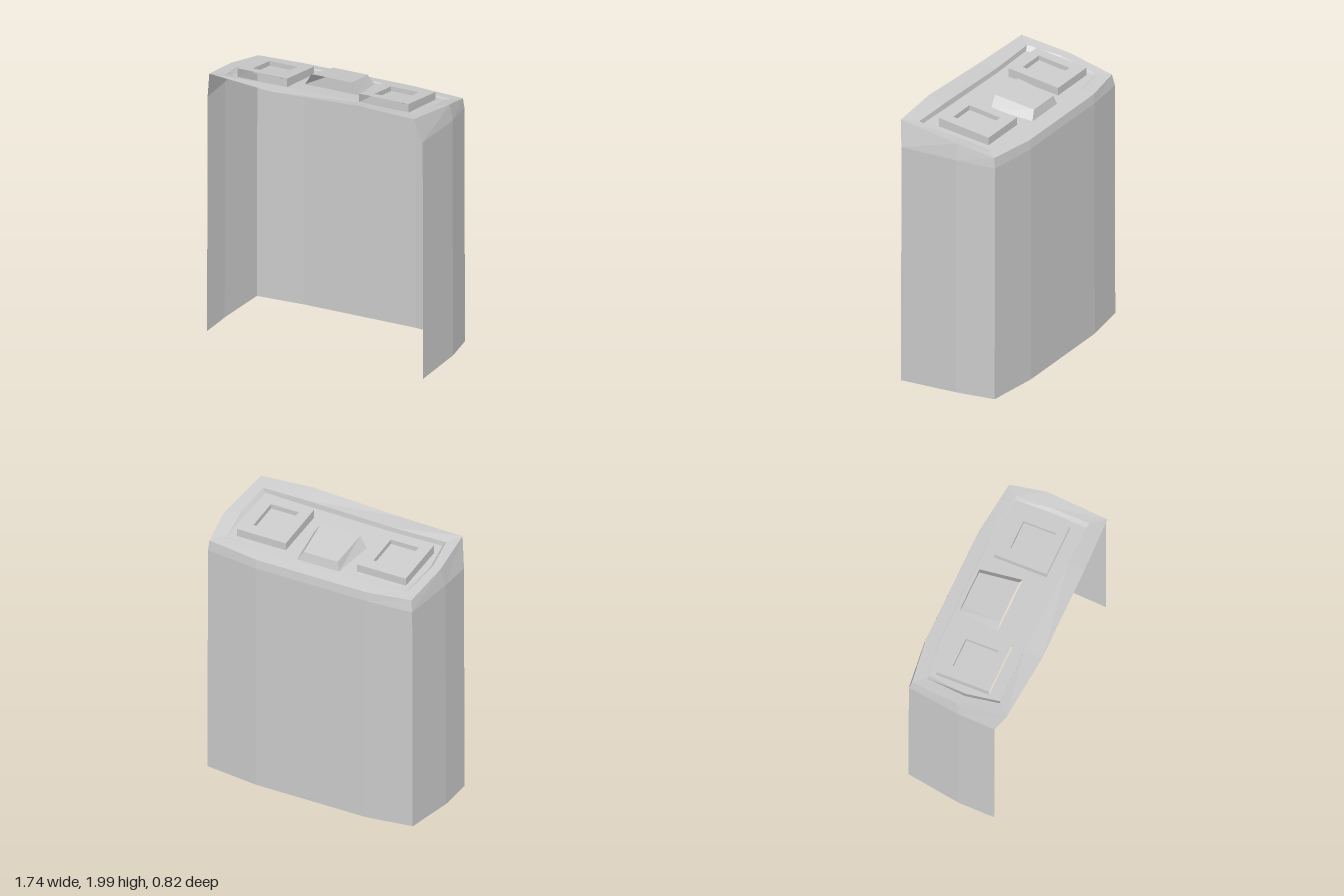
import * as THREE from 'three';

const material = new THREE.MeshStandardMaterial({ color: 0xcccccc, flatShading: true, side: THREE.DoubleSide });

// Sheet lofted through rows of points
function loft(name, rows, closed = false) {
  const n = rows[0].length, index = [];
  for (let r = 0; r < rows.length - 1; r++) {
    for (let i = 0; i < (closed ? n : n - 1); i++) {
      const j = (i + 1) % n, a = r * n + i, b = r * n + j;
      index.push(a, a + n, b, b, a + n, b + n);
    }
  }
  const g = new THREE.BufferGeometry();
  g.setAttribute('position', new THREE.Float32BufferAttribute(rows.flat(2), 3));
  g.setIndex(index);
  g.computeVertexNormals();
  const mesh = new THREE.Mesh(g, material);
  mesh.name = name;
  return mesh;
}

// Flat plate with holes, draped onto a height rule y = f(z)
function plate(name, outline, holes, height) {
  const toV = ([x, z]) => new THREE.Vector2(x, -z);
  const shape = new THREE.Shape(outline.map(toV));
  shape.holes = holes.map(h => new THREE.Path(h.map(toV)));
  const g = new THREE.ShapeGeometry(shape);
  g.rotateX(-Math.PI / 2);
  const p = g.attributes.position;
  for (let i = 0; i < p.count; i++) p.setY(i, height(p.getZ(i)));
  g.computeVertexNormals();
  const mesh = new THREE.Mesh(g, material);
  mesh.name = name;
  return mesh;
}

const rect = (x0, x1, z0, z1) => [[x0, z1], [x0, z0], [x1, z0], [x1, z1]];
const drape = (pts, f) => pts.map(([x, z]) => [x, f(z), z]);
const floorY = z => 1.895 + 0.13 * z;
const frameY = z => 1.956 + 0.15 * z;
const frameInnerY = z => frameY(z) - 0.035;
const scoopY = z => 1.978 + 0.2 * z;

export function createModel() {
  const group = new THREE.Group();

  // Outer wall: left edge, round the back, right edge [x, z, bottom y, shoulder y]
  const wall = [
    [-0.865, 0.30, 0.01, 1.78], [-0.87, 0.03, 0.01, 1.79], [-0.83, -0.37, 0.03, 1.77],
    [-0.48, -0.41, 0.02, 1.78], [0.40, -0.41, 0.02, 1.78], [0.81, -0.36, 0.02, 1.78],
    [0.865, -0.08, 0.03, 1.80], [0.865, 0.36, 0.02, 1.80],
  ];
  // Outer and inner edge of the top rim, in the same order, then the front
  const rimOuter = [
    [-0.81, 1.99, 0.37], [-0.84, 1.925, 0], [-0.81, 1.855, -0.355], [-0.48, 1.845, -0.40],
    [0.40, 1.845, -0.40], [0.80, 1.855, -0.35], [0.84, 1.92, -0.08], [0.81, 1.98, 0.395],
    [0.40, 2.0, 0.41], [-0.30, 1.97, 0.41],
  ];
  const rimInner = [
    [-0.73, 1.965, 0.28], [-0.77, 1.925, 0.03], [-0.74, 1.866, -0.27], [-0.48, 1.862, -0.31],
    [0.38, 1.862, -0.31], [0.74, 1.866, -0.27], [0.745, 1.92, 0], [0.735, 1.962, 0.29],
    [0.40, 1.97, 0.28], [-0.30, 1.962, 0.27],
  ];
  const bottom = wall.map(([x, z, y]) => [x, y, z]);
  const shoulder = wall.map(([x, z, , y]) => [x * 0.995, y, z]);
  group.add(loft('outerWall', [bottom, shoulder]));
  group.add(loft('shoulderBevel', [shoulder, rimOuter.slice(0, 8)]));

  // Rim and shallow recess
  const floorOutline = rimInner.map(([x, , z]) => [x * 0.965, z * 0.98]);
  group.add(loft('topRim', [rimOuter, rimInner], true));
  group.add(loft('recessWall', [rimInner, drape(floorOutline, floorY)], true));

  // Scoop footprint and raised top
  const scoopBase = [[-0.235, 0.035], [-0.19, -0.275], [0.145, -0.275], [0.185, 0.035]];
  const scoopTop = [[-0.185, 0.035], [-0.17, -0.26], [0.10, -0.26], [0.13, 0.035]];

  // Recess floor, open beneath the raised parts
  const frames = [['right', -0.495], ['left', 0.46]];
  const footprint = cx => rect(cx - 0.195, cx + 0.195, -0.22, 0.18);
  group.add(plate('recessFloor', floorOutline, [scoopBase, ...frames.map(f => footprint(f[1]))], floorY));

  // Two raised square frames with sunken centres
  for (const [side, cx] of frames) {
    const frame = new THREE.Group();
    frame.name = side + 'Frame';
    const outer = footprint(cx);
    const inner = rect(cx - 0.11, cx + 0.11, -0.135, 0.112);
    frame.add(loft('frameSides', [drape(outer, floorY), drape(outer, frameY)]));
    frame.add(plate('frameTop', outer, [inner], frameY));
    frame.add(loft('frameInnerSides', [drape(inner, frameY), drape(inner, frameInnerY)], true));
    frame.add(plate('frameCentre', inner, [], frameInnerY));
    group.add(frame);
  }

  // Central scoop, open toward the front
  const scoop = new THREE.Group();
  scoop.name = 'scoop';
  scoop.add(loft('scoopSides', [drape(scoopBase, floorY), drape(scoopTop, scoopY)]));
  scoop.add(plate('scoopTop', scoopTop, [], scoopY));
  group.add(scoop);

  return group;
}
